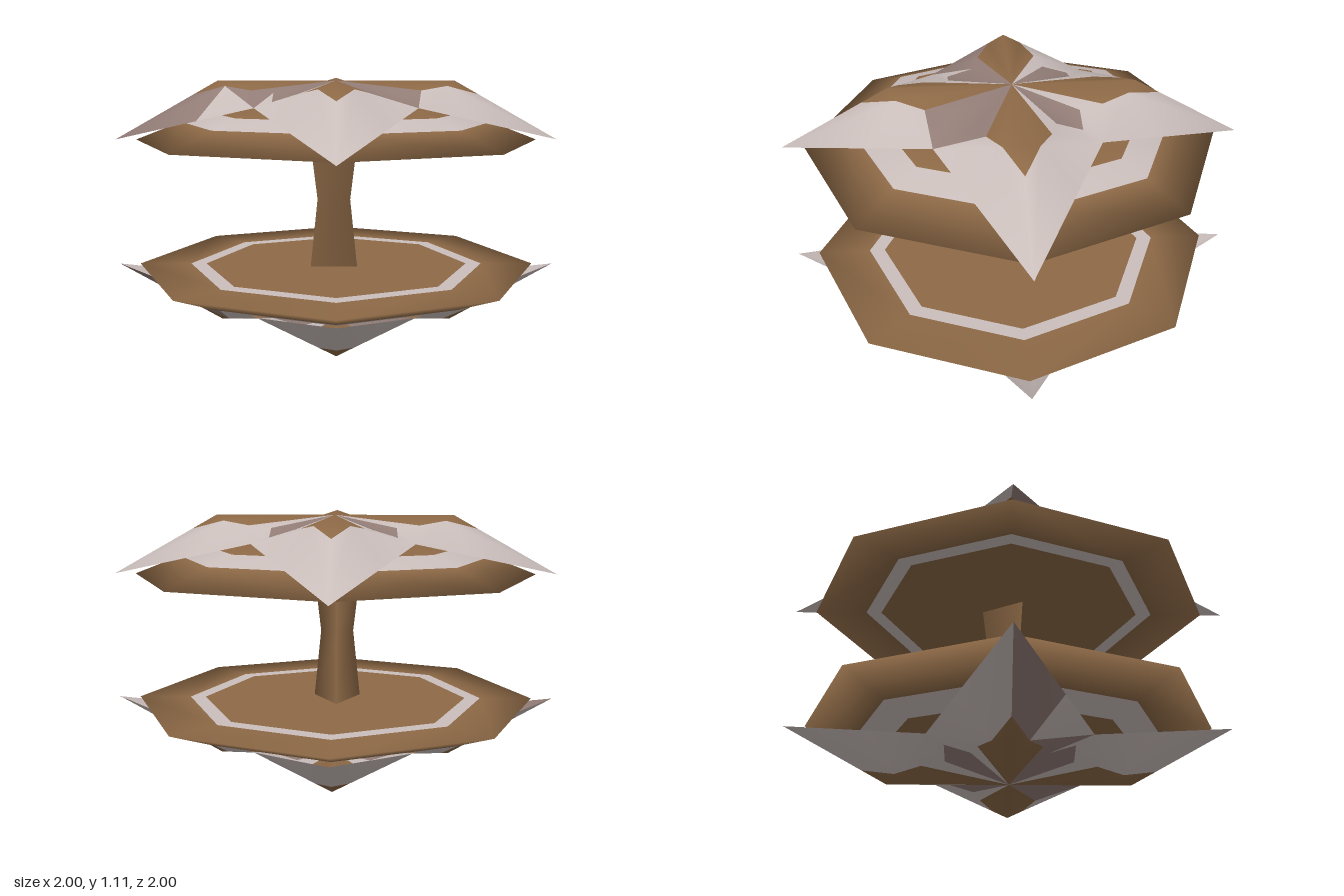
import * as THREE from 'three';
import { mergeVertices } from 'three/addons/utils/BufferGeometryUtils.js';

const HEIGHT = 1.105; // total height; the lower half mirrors the upper
const RIM = 0.84;
const [BROWN, PALE, MAUVE] = [0, 1, 2];

// Mirror top to bottom, keeping faces turned outward
function mirrored(geometry) {
  const g = geometry.clone();
  const { position, normal } = g.attributes;
  for (let i = 0; i < position.count; i++) {
    position.setY(i, HEIGHT - position.getY(i));
    normal.setY(i, -normal.getY(i));
  }
  const idx = g.index;
  for (let i = 0; i < idx.count; i += 3) {
    const t = idx.getX(i);
    idx.setX(i, idx.getX(i + 1));
    idx.setX(i + 1, t);
  }
  return g;
}

// Octagonal lidded dish with a pale band on the lid and on the outer slope
function dishGeometry() {
  const profile = [
    [0, RIM], [0.6, RIM], [0.67, RIM], [0.905, RIM],
    [0.7, 0.92], [0.575, 0.962], [0.47, 0.99], [0, 1.0],
  ].map(([r, y]) => new THREE.Vector2(r, y));
  const paint = [BROWN, PALE, BROWN, BROWN, PALE, BROWN, BROWN];
  const g = new THREE.LatheGeometry(profile, 8);
  for (let i = 0; i < 8; i++) {
    paint.forEach((m, j) => g.addGroup(6 * (i * paint.length + j), 6, m));
  }
  return g;
}

// Four-pointed star made of eight half arms; u runs along the arm, w across it
function starGeometry() {
  const pts = {
    C: [0, 0], R: [0.53, 0], T: [1, 0], N: [0.34, 0.34], // centre, ridge, tip, notch
    P: [0.37, 0.13], X: [0.4895, 0.0725], Q: [0.64, 0],  // leaf outline
    S: [0.27, 0.16], D: [0.27, 0.27], Y: [0.6, 0.206],   // petal and edge
  };
  const height = (u, w) => Math.min(
    HEIGHT - 0.309 * w,
    HEIGHT - 0.564 * (u - 0.53) - 0.624 * w
  );
  const leaf = ['CPX', 'CXR', 'RXQ'];
  const petal = ['CSD'];
  const rest = ['CPS', 'SPN', 'SND', 'PNX', 'XNY', 'XYT', 'XTQ'];
  // Extra mauve patches, keyed by arm and side
  const patches = {
    '0,1': ['CPS', 'SPN', 'SND'],
    '1,-1': ['CPS', 'SPN', 'SND'],
    '2,-1': ['CPS', 'SPN', 'PNX', 'XYT', 'XTQ'],
  };
  const buckets = [[], [], []];

  for (let k = 0; k < 4; k++) {
    const c = Math.round(Math.cos(k * Math.PI / 2));
    const s = Math.round(Math.sin(k * Math.PI / 2));
    for (const side of [1, -1]) {
      const extra = patches[`${k},${side}`] || [];
      const add = (name, m) => {
        const tri = [...name].map((n) => {
          const [u, w] = pts[n];
          return [c * u - s * side * w, height(u, w), s * u + c * side * w];
        });
        if (side < 0) tri.reverse();
        // Turn every face upward
        const [a, b, d] = tri;
        const up = (b[2] - a[2]) * (d[0] - a[0]) - (b[0] - a[0]) * (d[2] - a[2]);
        buckets[m].push(...(up > 0 ? [a, b, d] : [a, d, b]).flat());
      };
      leaf.forEach((n) => add(n, BROWN));
      petal.forEach((n) => add(n, MAUVE));
      rest.forEach((n) => add(n, extra.includes(n) ? MAUVE : PALE));
    }
  }

  const g = new THREE.BufferGeometry();
  g.setAttribute('position', new THREE.Float32BufferAttribute(buckets.flat(), 3));
  let start = 0;
  buckets.forEach((b, m) => {
    g.addGroup(start, b.length / 3, m);
    start += b.length / 3;
  });
  const merged = mergeVertices(g, 1e-4);
  merged.computeVertexNormals();
  return merged;
}

// Three-sided post with a narrow waist
function postGeometry() {
  const g = new THREE.CylinderGeometry(0.122, 0.122, 2 * RIM - HEIGHT, 3, 2, true, Math.PI);
  const p = g.attributes.position;
  for (let i = 0; i < p.count; i++) {
    if (Math.abs(p.getY(i)) < 0.01) p.setXYZ(i, p.getX(i) * 0.7, 0.02, p.getZ(i) * 0.74);
  }
  return g.translate(-0.01, HEIGHT / 2, 0);
}

export function createModel() {
  const make = (name, color) => {
    const m = new THREE.MeshStandardMaterial({ color, side: THREE.DoubleSide });
    m.name = name;
    return m;
  };
  const materials = [
    make('brown', 0x8d6946),
    make('pale', 0xcabebb),
    make('mauve', 0x937d77),
  ];
  const model = new THREE.Group();
  const add = (name, geometry, material) => {
    const mesh = new THREE.Mesh(geometry, material);
    mesh.name = name;
    model.add(mesh);
  };

  const dish = dishGeometry();
  const star = starGeometry();
  add('upperDish', dish, materials);
  add('lowerDish', mirrored(dish), materials);
  add('upperStar', star, materials);
  add('lowerStar', mirrored(star), materials);
  add('post', postGeometry(), materials[BROWN]);
  return model;
}
